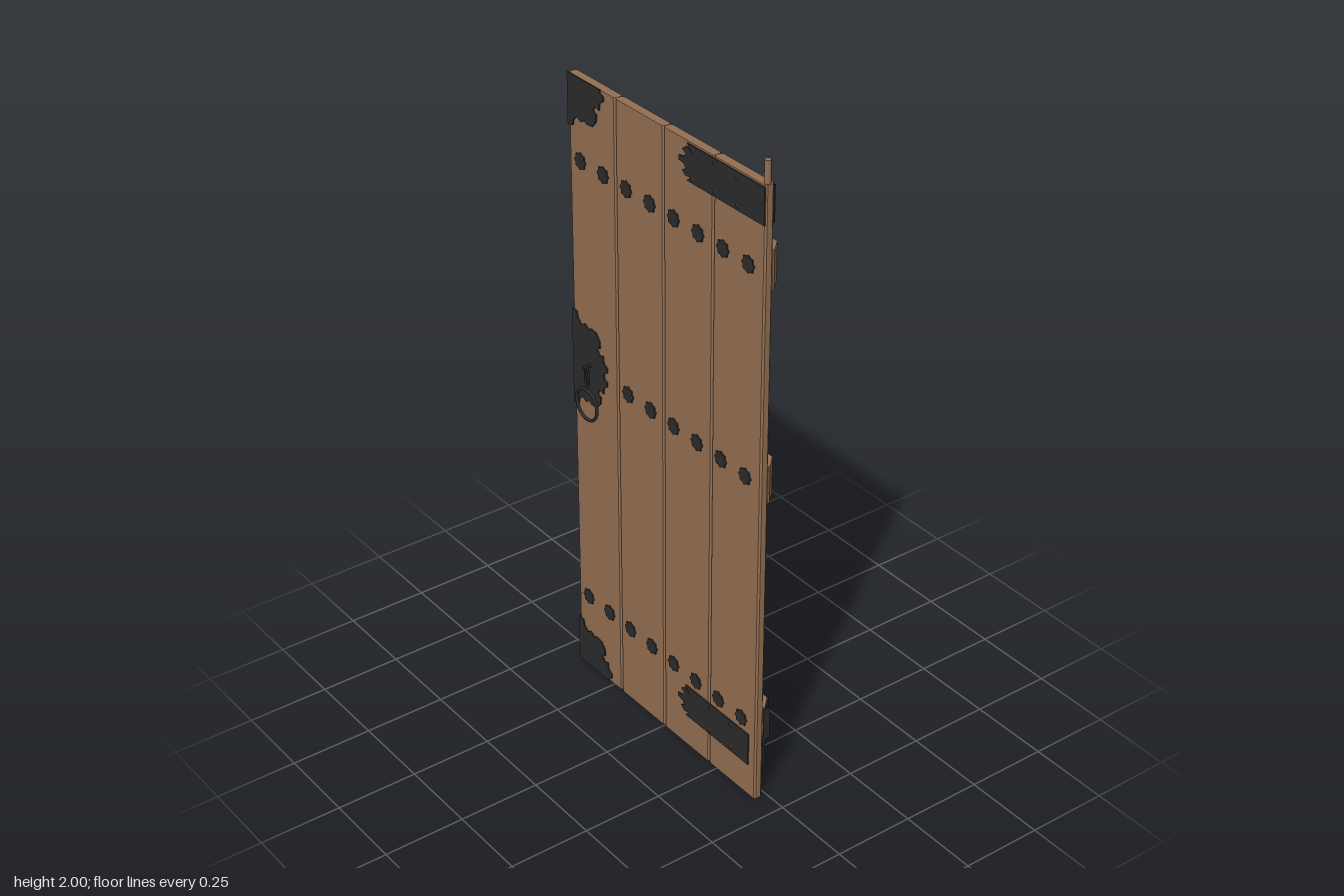
import * as THREE from 'three';

const wood = new THREE.MeshStandardMaterial({ color: 0x946f52 });
wood.name = 'brown wood';
const iron = new THREE.MeshStandardMaterial({ color: 0x2b2b2b });
iron.name = 'black iron';

const FRONT = 0.041, BACK = 0.014, PLATE = 0.004;

// Prism from a 2D outline
function prism(points, depth) {
  const shape = new THREE.Shape(points.map(([x, y]) => new THREE.Vector2(x, y)));
  return new THREE.ExtrudeGeometry(shape, { depth, bevelEnabled: false });
}

export function createModel() {
  const door = new THREE.Group();
  door.name = 'door';
  const add = (name, geometry, material, x = 0, y = 0, z = 0) => {
    const mesh = new THREE.Mesh(geometry, material);
    mesh.name = name;
    mesh.position.set(x, y, z);
    door.add(mesh);
    return mesh;
  };

  // Four upright planks with bevelled long edges
  const w = 0.1055, b = 0.005;
  const plankOutline = [
    [-w, -FRONT + b], [-w + b, -FRONT], [w - b, -FRONT], [w, -FRONT + b],
    [w, -BACK - b], [w - b, -BACK], [-w + b, -BACK], [-w, -BACK - b],
  ];
  const plank = prism(plankOutline, 1.935).rotateX(-Math.PI / 2);
  for (let i = 0; i < 4; i++) add('plank', plank, wood, (i - 1.5) * 0.2125);

  // Three cross battens on the back, chamfered at the hinge end
  const batten = prism([
    [-0.425, -BACK], [0.422, -BACK], [0.422, -0.008], [0.39, 0.026], [-0.425, 0.026],
  ], 0.115).rotateX(-Math.PI / 2);
  for (const y of [0.195, 0.99, 1.632]) add('batten', batten, wood, 0, y);

  // Back pull handle with a finger notch
  const handle = prism([
    [BACK, 0.81], [BACK, 1.13], [-0.022, 1.13], [-0.022, 1.31], [BACK, 1.31], [BACK, 1.63],
    [-0.025, 1.61], [-0.07, 1.54], [-0.07, 0.9], [-0.025, 0.83],
  ], 0.064).rotateY(-Math.PI / 2);
  add('backHandle', handle, wood, -0.133);

  // Hinge pivot on top
  add('pivot', new THREE.CylinderGeometry(0.009, 0.009, 0.1, 12), wood, 0.413, 1.95, 0.028);

  // Hinge straps with a leaf-shaped tip and pointed studs
  const stud = new THREE.ConeGeometry(0.008, 0.006, 6).rotateX(Math.PI / 2);
  const studBack = stud.clone().rotateY(Math.PI);
  function strap(name, y, z, end, facing) {
    const half = [[0.105, 0.053], [0.12, 0.038], [0.1, 0.042], [0.085, 0.03], [0.1, 0.022], [0.092, 0.01], [0.07, 0.006]];
    const outline = [[end, 0.053], ...half, ...half.map(([px, py]) => [px, -py]).reverse(), [end, -0.053]];
    add(name, prism(outline, PLATE), iron, 0, y, facing > 0 ? z : z - PLATE);
    for (const x of [0.13, 0.222, 0.315])
      for (const dy of [-0.04, 0.04])
        add('strapStud', facing > 0 ? stud : studBack, iron, x, y + dy, z + facing * (PLATE + 0.003));
  }
  strap('topFrontStrap', 1.877, FRONT, 0.423, 1);
  strap('topBackStrap', 1.877, BACK, 0.423, -1);
  strap('lowerFrontStrap', 0.16, FRONT, 0.395, 1);
  strap('lowerBackStrap', 0.253, -0.026, 0.39, -1);

  // Bent end of the lower back strap and its edge plate
  const bend = prism([[0.39, 0.026], [0.422, -0.008], [0.425, -0.008], [0.392, 0.03], [0.39, 0.03]], 0.106);
  add('strapBend', bend.rotateX(-Math.PI / 2), iron, 0, 0.2);
  add('strapEdge', new THREE.BoxGeometry(0.003, 0.106, 0.022), iron, 0.4235, 0.253, 0.003);
  add('edgePlate', new THREE.BoxGeometry(0.004, 0.1, 0.008), iron, 0.423, 0.16, 0.012);

  // Scalloped corner plates and the mirrored lock plate
  const scallop = [
    [0, 0.155], [0.022, 0.15], [0.026, 0.132], [0.042, 0.118], [0.06, 0.128], [0.078, 0.116],
    [0.085, 0.124], [0.112, 0.122], [0.13, 0.102], [0.132, 0.08], [0.118, 0.072], [0.128, 0.056],
    [0.145, 0.062], [0.148, 0.04], [0.164, 0.03], [0.164, 0.015], [0.15, 0.01], [0.15, 0],
  ];
  const flip = scallop.map(([x, y]) => [x, -y]).reverse();
  add('bottomCornerPlate', prism([[0, 0], ...scallop], PLATE), iron, -0.425, 0, FRONT);
  add('topCornerPlate', prism([[0, 0], ...flip], PLATE), iron, -0.425, 1.937, FRONT);
  add('lockPlate', prism([...scallop.slice(0, -1), ...flip.slice(1)], PLATE), iron, -0.425, 1.062, FRONT);

  // Rows of petalled rosettes
  const petals = Array.from({ length: 32 }, (_, i) => {
    const a = (i / 32) * Math.PI * 2, r = 0.0235 + 0.0025 * Math.cos(8 * a);
    return [r * Math.cos(a), r * Math.sin(a)];
  });
  const rosette = prism(petals, PLATE);
  for (const y of [0.253, 1.055, 1.69])
    for (let i = y === 1.055 ? 2 : 0; i < 8; i++)
      add('rosette', rosette, iron, -0.373 + i * 0.1047, y, FRONT);

  // Ring pull hanging from an elongated loop on a pin
  add('pullRing', new THREE.TorusGeometry(0.049, 0.005, 8, 32), iron, -0.34, 0.944, 0.06);
  const loop = new THREE.TorusGeometry(0.012, 0.0035, 6, 16).scale(0.7, 2.7, 1);
  add('ringLoop', loop, iron, -0.34, 1.035, 0.058);
  add('ringPin', new THREE.CylinderGeometry(0.005, 0.005, 0.03, 8).rotateX(Math.PI / 2), iron, -0.34, 1.066, 0.055);

  return door;
}
